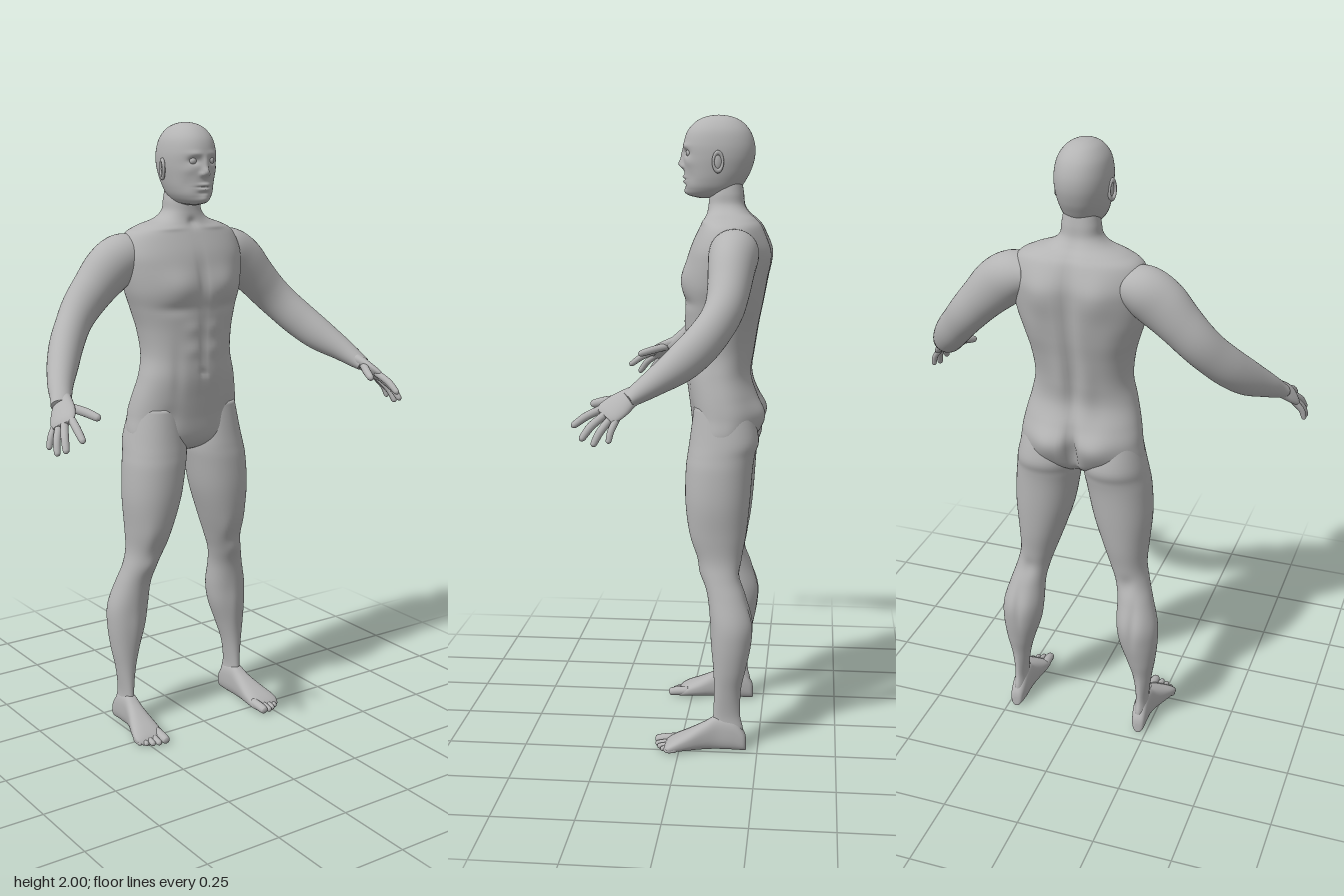
import * as THREE from 'three';

const skin = new THREE.MeshStandardMaterial({ color: 0xb4b4b4 });
skin.name = 'plain grey';

// Smooth in-between rows (Catmull-Rom on every column)
function refine(rows, steps) {
  const out = [];
  const at = i => rows[Math.max(0, Math.min(rows.length - 1, i))];
  for (let i = 0; i < rows.length - 1; i++) {
    for (let k = 0; k < steps; k++) {
      const t = k / steps;
      out.push(at(i).map((b, j) => {
        const a = at(i - 1)[j], c = at(i + 1)[j], d = at(i + 2)[j];
        return b + 0.5 * t * (c - a + t * (2 * a - 5 * b + 4 * c - d + t * (3 * (b - c) + d - a)));
      }));
    }
  }
  out.push(at(rows.length - 1));
  return out;
}

// Closed skin over cross-sections; point(rows, i, cos, sin) gives one corner
function loft(rows, steps, seg, point, mirror = false) {
  const R = refine(rows, steps), pos = [], idx = [], n = R.length;
  for (let i = 0; i < n; i++) {
    for (let j = 0; j < seg; j++) {
      const a = (j / seg) * Math.PI * 2;
      const p = point(R, i, Math.cos(a), Math.sin(a));
      pos.push(mirror ? -p[0] : p[0], p[1], p[2]);
    }
  }
  for (const row of [0, n - 1]) {
    const mid = [0, 0, 0];
    for (let j = 0; j < seg; j++) for (let k = 0; k < 3; k++) mid[k] += pos[(row * seg + j) * 3 + k] / seg;
    pos.push(...mid);
  }
  for (let j = 0; j < seg; j++) {
    const q = (j + 1) % seg, e = (n - 1) * seg;
    for (let i = 0; i < n - 1; i++) {
      const a = i * seg + j, b = i * seg + q;
      idx.push(a, b, a + seg, b, b + seg, a + seg);
    }
    idx.push(n * seg, q, j, n * seg + 1, e + j, e + q);
  }
  // Turn the faces outwards when the enclosed volume is negative
  const v = i => new THREE.Vector3().fromArray(pos, i * 3);
  let volume = 0;
  for (let i = 0; i < idx.length; i += 3) volume += v(idx[i]).dot(v(idx[i + 1]).cross(v(idx[i + 2])));
  if (volume < 0) idx.reverse();
  const g = new THREE.BufferGeometry();
  g.setAttribute('position', new THREE.Float32BufferAttribute(pos, 3));
  g.setIndex(idx);
  g.computeVertexNormals();
  return g;
}

const soft = (v, e) => Math.sign(v) * Math.pow(Math.abs(v), e);

// Upright section, row = [y, x0, x1, zFront, zBack]; bumps = [|x|, y, spreadX, spreadY, height]
const upright = (e, front = [], back = []) => (R, i, c, s) => {
  const [y, x0, x1, zf, zb] = R[i];
  const x = (x0 + x1) / 2 + ((x1 - x0) / 2) * soft(c, e);
  let z = (zf + zb) / 2 + ((zf - zb) / 2) * soft(s, e);
  for (const [bx, by, sx, sy, h] of s > 0 ? front : back) {
    z += s * h * Math.exp(-(((Math.abs(x) - bx) / sx) ** 2) - ((y - by) / sy) ** 2);
  }
  return [x, y, z];
};

// Section across a path, row = [x, y, z, radiusAlongHint, radiusAcross]
const along = hint => (R, i, c, s) => {
  const P = k => new THREE.Vector3().fromArray(R[Math.max(0, Math.min(R.length - 1, k))]);
  const t = P(i + 1).sub(P(i - 1)).normalize();
  const u = new THREE.Vector3(...hint);
  u.addScaledVector(t, -u.dot(t)).normalize();
  const w = t.clone().cross(u);
  return P(i).addScaledVector(u, c * R[i][3]).addScaledVector(w, s * R[i][4]).toArray();
};

// Round-tipped digit through base, middle and tip
function digit(base, mid, tip, r) {
  const back = k => tip.map((v, i) => v + (mid[i] - v) * k);
  return [[...base, r, r], [...mid, r * 1.05, r], [...back(0.25), r * 0.9, r * 0.85],
    [...back(0.07), r * 0.6, r * 0.55], [...tip, r * 0.1, r * 0.1]];
}

const sym = rows => rows.map(([y, w, zf, zb]) => [y, -w, w, zf, zb]);

const torsoRows = sym([
  [1.80, 0.050, -0.090, -0.175], [1.76, 0.058, -0.075, -0.182], [1.725, 0.064, -0.070, -0.187],
  [1.70, 0.092, -0.065, -0.203], [1.68, 0.150, -0.057, -0.225], [1.655, 0.193, -0.043, -0.243],
  [1.60, 0.214, -0.018, -0.260], [1.55, 0.213, -0.005, -0.262], [1.48, 0.201, 0.005, -0.256],
  [1.42, 0.182, 0.002, -0.246], [1.35, 0.163, 0.000, -0.230], [1.27, 0.155, 0.000, -0.215],
  [1.20, 0.169, -0.001, -0.208], [1.13, 0.186, -0.010, -0.228], [1.07, 0.196, -0.018, -0.243],
  [1.00, 0.200, -0.027, -0.225], [0.965, 0.140, -0.050, -0.190], [0.945, 0.040, -0.090, -0.150]]);
const torsoFront = [
  [0.085, 1.50, 0.065, 0.05, 0.014], [0, 1.52, 0.014, 0.07, -0.007], [0.10, 1.425, 0.06, 0.018, -0.006],
  [0, 1.30, 0.010, 0.10, -0.005], [0.04, 1.36, 0.026, 0.022, 0.004], [0.04, 1.29, 0.026, 0.022, 0.004],
  [0, 1.215, 0.010, 0.010, -0.008], [0.09, 1.22, 0.018, 0.09, -0.005], [0.10, 1.675, 0.06, 0.008, 0.006],
  [0, 1.69, 0.016, 0.015, -0.008], [0.11, 1.07, 0.03, 0.04, -0.006]];
const torsoBack = [
  [0.09, 1.57, 0.055, 0.07, 0.016], [0, 1.50, 0.022, 0.16, -0.016], [0, 1.26, 0.018, 0.12, -0.012],
  [0.045, 1.27, 0.025, 0.10, 0.006], [0.085, 1.065, 0.06, 0.06, 0.022], [0, 1.04, 0.016, 0.07, -0.040],
  [0.13, 1.42, 0.04, 0.08, 0.006]];

const headRows = sym([
  [2.000, 0.004, -0.095, -0.105], [1.995, 0.028, -0.062, -0.140], [1.980, 0.053, -0.030, -0.173],
  [1.950, 0.074, -0.003, -0.200], [1.910, 0.083, 0.009, -0.214], [1.870, 0.083, 0.008, -0.214],
  [1.830, 0.077, 0.006, -0.202], [1.800, 0.070, 0.005, -0.186], [1.775, 0.060, 0.002, -0.170],
  [1.755, 0.043, -0.008, -0.155], [1.745, 0.015, -0.045, -0.120]]);
const face = [
  [0, 1.850, 0.011, 0.014, 0.017], [0, 1.875, 0.009, 0.020, 0.009], [0.013, 1.843, 0.007, 0.007, 0.007],
  [0.034, 1.884, 0.017, 0.011, -0.013], [0.034, 1.906, 0.022, 0.008, 0.004], [0.053, 1.855, 0.016, 0.014, 0.004],
  [0.052, 1.810, 0.015, 0.020, -0.004], [0, 1.811, 0.020, 0.005, 0.007], [0, 1.796, 0.017, 0.005, 0.007],
  [0, 1.8035, 0.026, 0.002, -0.004], [0, 1.785, 0.020, 0.005, -0.003], [0, 1.765, 0.020, 0.011, 0.007]];

const legRows = [
  [1.10, 0.030, 0.185, -0.035, -0.215], [1.00, 0.012, 0.208, -0.022, -0.240], [0.95, 0.010, 0.217, -0.015, -0.229],
  [0.90, 0.018, 0.224, -0.010, -0.222], [0.80, 0.038, 0.228, -0.010, -0.215], [0.70, 0.070, 0.220, -0.024, -0.205],
  [0.62, 0.098, 0.216, -0.052, -0.192], [0.56, 0.118, 0.228, -0.070, -0.190], [0.50, 0.130, 0.246, -0.087, -0.207],
  [0.42, 0.132, 0.268, -0.098, -0.228], [0.35, 0.142, 0.270, -0.102, -0.226], [0.27, 0.168, 0.262, -0.108, -0.210],
  [0.20, 0.188, 0.250, -0.110, -0.193], [0.12, 0.200, 0.240, -0.108, -0.190], [0.07, 0.198, 0.242, -0.105, -0.202],
  [0.03, 0.200, 0.240, -0.110, -0.200]];
const legFront = [
  [0.168, 0.575, 0.028, 0.030, 0.007], [0.115, 0.645, 0.025, 0.045, 0.006], [0.19, 0.67, 0.02, 0.06, 0.004],
  [0.20, 0.35, 0.02, 0.12, 0.004]];
const legBack = [
  [0.165, 0.42, 0.024, 0.07, 0.005], [0.232, 0.43, 0.024, 0.07, 0.004], [0.20, 0.42, 0.010, 0.07, -0.004],
  [0.172, 0.57, 0.024, 0.03, -0.006], [0.22, 0.15, 0.012, 0.08, 0.004]];

// Foot sections, row = [z, x0, x1, height]
const footRows = [
  [-0.214, 0.214, 0.230, 0.035], [-0.206, 0.202, 0.242, 0.062], [-0.170, 0.194, 0.246, 0.105],
  [-0.120, 0.194, 0.247, 0.112], [-0.080, 0.192, 0.256, 0.090], [-0.030, 0.186, 0.275, 0.064],
  [0.010, 0.184, 0.288, 0.045], [0.035, 0.187, 0.287, 0.030], [0.050, 0.195, 0.270, 0.016]];
const footPoint = (R, i, c, s) => {
  const [z, x0, x1, h] = R[i];
  return [(x0 + x1) / 2 + ((x1 - x0) / 2) * soft(c, 0.8), h / 2 + (h / 2) * soft(s, 0.8), z];
};

const armRows = [
  [0.150, 1.595, -0.163, 0.060, 0.070], [0.205, 1.582, -0.163, 0.077, 0.076], [0.258, 1.546, -0.160, 0.080, 0.071],
  [0.315, 1.490, -0.156, 0.070, 0.064], [0.365, 1.437, -0.147, 0.064, 0.058], [0.407, 1.390, -0.124, 0.061, 0.053],
  [0.453, 1.338, -0.083, 0.060, 0.052], [0.496, 1.290, -0.030, 0.055, 0.048], [0.540, 1.246, 0.035, 0.040, 0.039],
  [0.566, 1.214, 0.085, 0.029, 0.032], [0.578, 1.199, 0.110, 0.022, 0.032]];
const palmRows = [
  [0.560, 1.220, 0.075, 0.026, 0.022], [0.572, 1.204, 0.105, 0.033, 0.020], [0.588, 1.184, 0.135, 0.042, 0.017],
  [0.602, 1.166, 0.160, 0.042, 0.014], [0.609, 1.156, 0.172, 0.034, 0.009]];
const palmWidth = [-0.033, 0.025, 0.05];
const fingers = {
  thumb: digit([0.570, 1.200, 0.118], [0.538, 1.188, 0.175], [0.515, 1.174, 0.226], 0.013),
  indexFinger: digit([0.584, 1.178, 0.172], [0.592, 1.155, 0.222], [0.595, 1.122, 0.269], 0.0115),
  middleFinger: digit([0.600, 1.166, 0.164], [0.622, 1.132, 0.206], [0.635, 1.090, 0.238], 0.0115),
  ringFinger: digit([0.609, 1.156, 0.150], [0.634, 1.118, 0.180], [0.645, 1.076, 0.202], 0.011),
  littleFinger: digit([0.613, 1.154, 0.134], [0.637, 1.122, 0.149], [0.648, 1.086, 0.157], 0.0095),
};
const toes = [[0.202, 0.082, 0.015], [0.226, 0.079, 0.0105], [0.245, 0.071, 0.010],
  [0.263, 0.059, 0.0095], [0.279, 0.044, 0.009]];

export function createModel() {
  const model = new THREE.Group();
  model.name = 'standingFigure';
  const add = (parent, name, geometry) => {
    const mesh = new THREE.Mesh(geometry, skin);
    mesh.name = name;
    parent.add(mesh);
    return mesh;
  };

  add(model, 'torsoAndNeck', loft(torsoRows, 8, 96, upright(0.88, torsoFront, torsoBack)));
  add(model, 'head', loft(headRows, 11, 120, upright(0.94, face)));

  for (const m of [false, true]) {
    const side = m ? 'right' : 'left', sx = m ? -1 : 1;
    const part = name => {
      const g = new THREE.Group();
      g.name = side + name;
      model.add(g);
      return g;
    };

    // Eye and ear
    const features = part('Features');
    const eye = add(features, 'eye', new THREE.SphereGeometry(0.012, 20, 14));
    eye.position.set(sx * 0.033, 1.884, -0.013);
    const ear = add(features, 'earRim', new THREE.TorusGeometry(0.022, 0.006, 10, 28));
    ear.scale.set(0.68, 1.25, 0.9);
    const bowl = add(features, 'earBowl', new THREE.SphereGeometry(0.02, 18, 12));
    bowl.scale.set(0.65, 1.2, 0.3);
    for (const [o, x] of [[ear, 0.086], [bowl, 0.082]]) {
      o.position.set(sx * x, 1.857, -0.105);
      o.rotation.set(0, sx * (Math.PI / 2 + 0.3), 0);
    }

    // Arm, hand and fingers
    const arm = part('Arm');
    add(arm, 'arm', loft(armRows, 7, 40, along([0, 1, 0]), m));
    add(arm, 'palm', loft(palmRows, 5, 28, along(palmWidth), m));
    for (const [name, rows] of Object.entries(fingers)) add(arm, name, loft(rows, 4, 14, along(palmWidth), m));

    // Leg, foot and toes
    const leg = part('Leg');
    add(leg, 'leg', loft(legRows, 6, 56, upright(0.95, legFront, legBack), m));
    add(leg, 'foot', loft(footRows, 5, 36, footPoint, m));
    toes.forEach(([x, z, r], i) => add(leg, 'toe' + (i + 1),
      loft(digit([x - 0.002, r + 0.008, 0.01], [x, r + 0.004, z - 0.03], [x, r, z], r), 4, 14, along([1, 0, 0]), m)));
  }
  return model;
}
